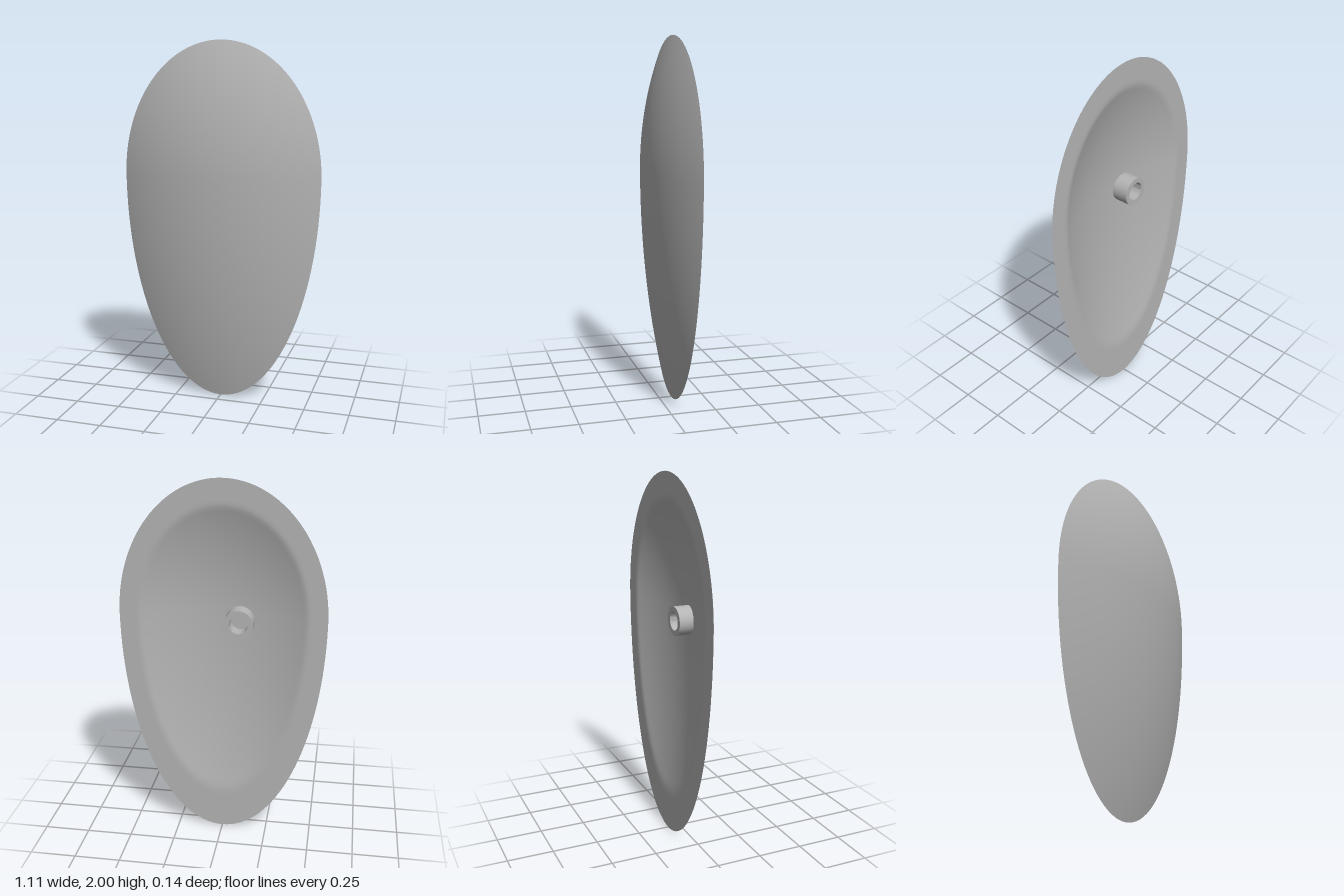
import * as THREE from 'three';
import { mergeVertices, toCreasedNormals } from 'three/addons/utils/BufferGeometryUtils.js';

const HALF_WIDTH = 0.553, WIDEST_Y = 1.27, TOP = 2;
const RIM_Z = -0.07, DOME = 0.14, WALL = 0.05;
const RINGS = 40, SIDES = 128;

// Height of the shallow spherical cap at relative radius r (0 centre, 1 edge)
function capZ(r) {
  const R = (HALF_WIDTH ** 2 + DOME ** 2) / (2 * DOME);
  return RIM_Z + DOME - R + Math.sqrt(R * R - (r * HALF_WIDTH) ** 2);
}

// Turn a profile about z, then stretch it into an egg with a longer lower half
function eggSurface(profile) {
  let geo = new THREE.LatheGeometry(profile, SIDES);
  geo.rotateX(Math.PI / 2);
  geo.deleteAttribute('normal');
  geo.deleteAttribute('uv');
  const p = geo.attributes.position;
  for (let i = 0; i < p.count; i++) {
    const y = p.getY(i);
    p.setX(i, p.getX(i) * HALF_WIDTH);
    p.setY(i, WIDEST_Y + y * (y > 0 ? TOP - WIDEST_Y : WIDEST_Y));
  }
  geo = mergeVertices(geo, 1e-5);
  geo.computeVertexNormals();
  return geo;
}

export function createModel() {
  const group = new THREE.Group();
  const grey = new THREE.MeshStandardMaterial({ color: 0xb4b4b4 });
  grey.name = 'grey';

  const add = (name, geo) => {
    const mesh = new THREE.Mesh(geo, grey);
    mesh.name = name;
    group.add(mesh);
    return mesh;
  };

  // Domed front, from the edge in to the centre
  const front = [], back = [];
  for (let i = 0; i <= RINGS; i++) {
    const r = i / RINGS;
    front.unshift(new THREE.Vector2(r, capZ(r)));
    // Hollow back follows the dome until it meets the flat rim
    back.push(new THREE.Vector2(r, Math.max(RIM_Z, capZ(r) - WALL)));
  }
  add('domedFront', eggSurface(front));
  add('hollowBackAndRim', eggSurface(back));

  // Mounting socket: a short tube with a blind hole
  const socket = new THREE.LatheGeometry([
    [0, 0.012], [0.05, 0.012], [0.05, RIM_Z], [0.078, RIM_Z], [0.078, 0.03],
  ].map(([r, z]) => new THREE.Vector2(r, z)), 40);
  socket.rotateX(Math.PI / 2);
  add('mountingSocket', toCreasedNormals(socket, 0.6)).position.set(-0.085, 1.235, 0);

  return group;
}
